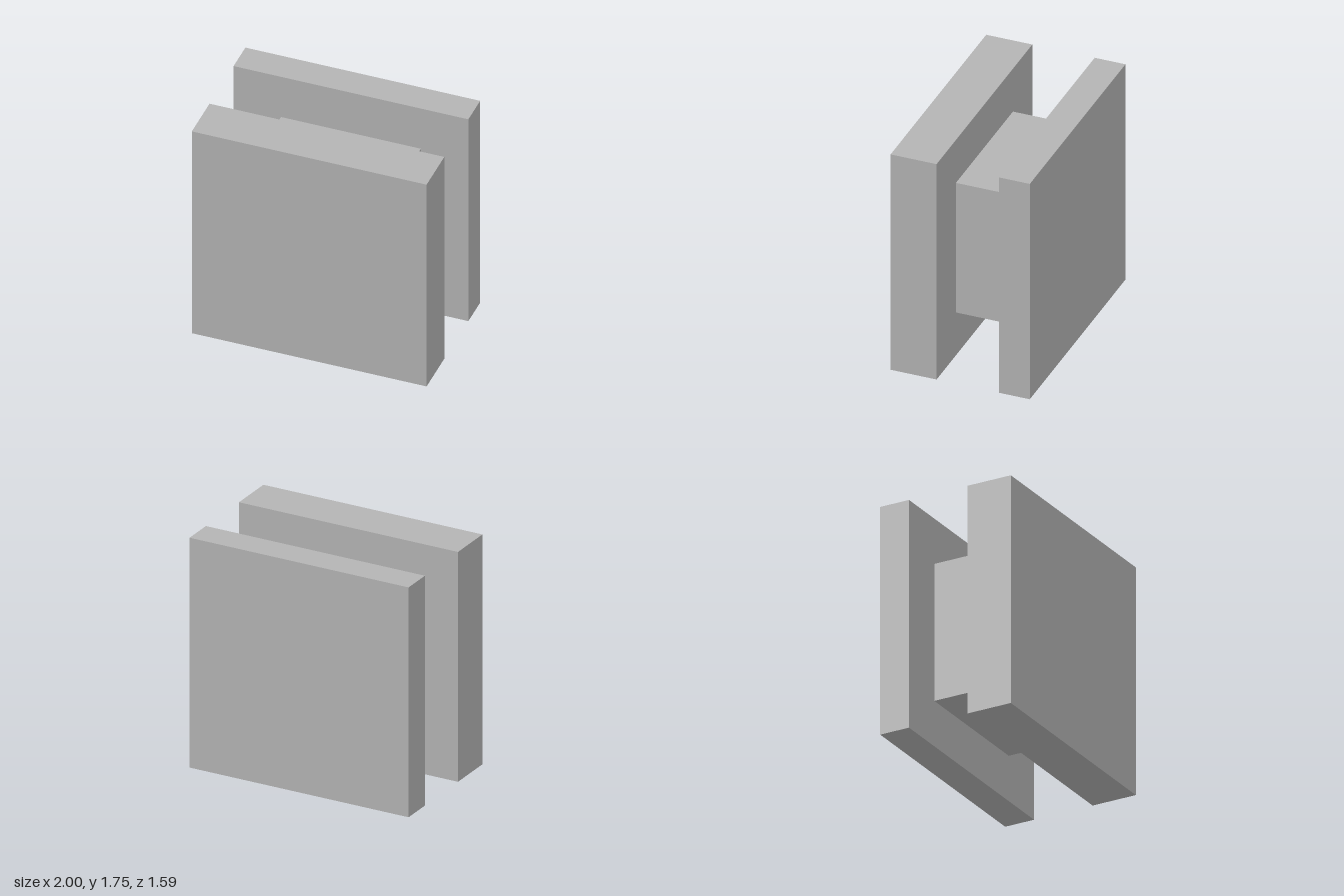
import * as THREE from 'three';

const HEIGHT = 1.745;

export function createModel() {
  const model = new THREE.Group();
  model.name = 'twinSlabBlock';
  const grey = new THREE.MeshStandardMaterial({ color: 0xb4b4b4 });
  grey.name = 'plain grey';

  // All blocks share the same centre height and stand in a row along local z
  const addBlock = (name, width, height, depth, z) => {
    const block = new THREE.Mesh(new THREE.BoxGeometry(width, height, depth), grey);
    block.name = name;
    block.position.set(0, HEIGHT / 2, z);
    model.add(block);
  };

  addBlock('frontSlab', HEIGHT, HEIGHT, 0.346, 0.347);
  addBlock('middleBlock', 1.04, 1.05, 0.469, -0.0605);
  addBlock('backSlab', HEIGHT, HEIGHT, 0.231, -0.4105);

  // The whole row is turned about the vertical axis
  model.rotation.y = THREE.MathUtils.degToRad(20.3);
  return model;
}
